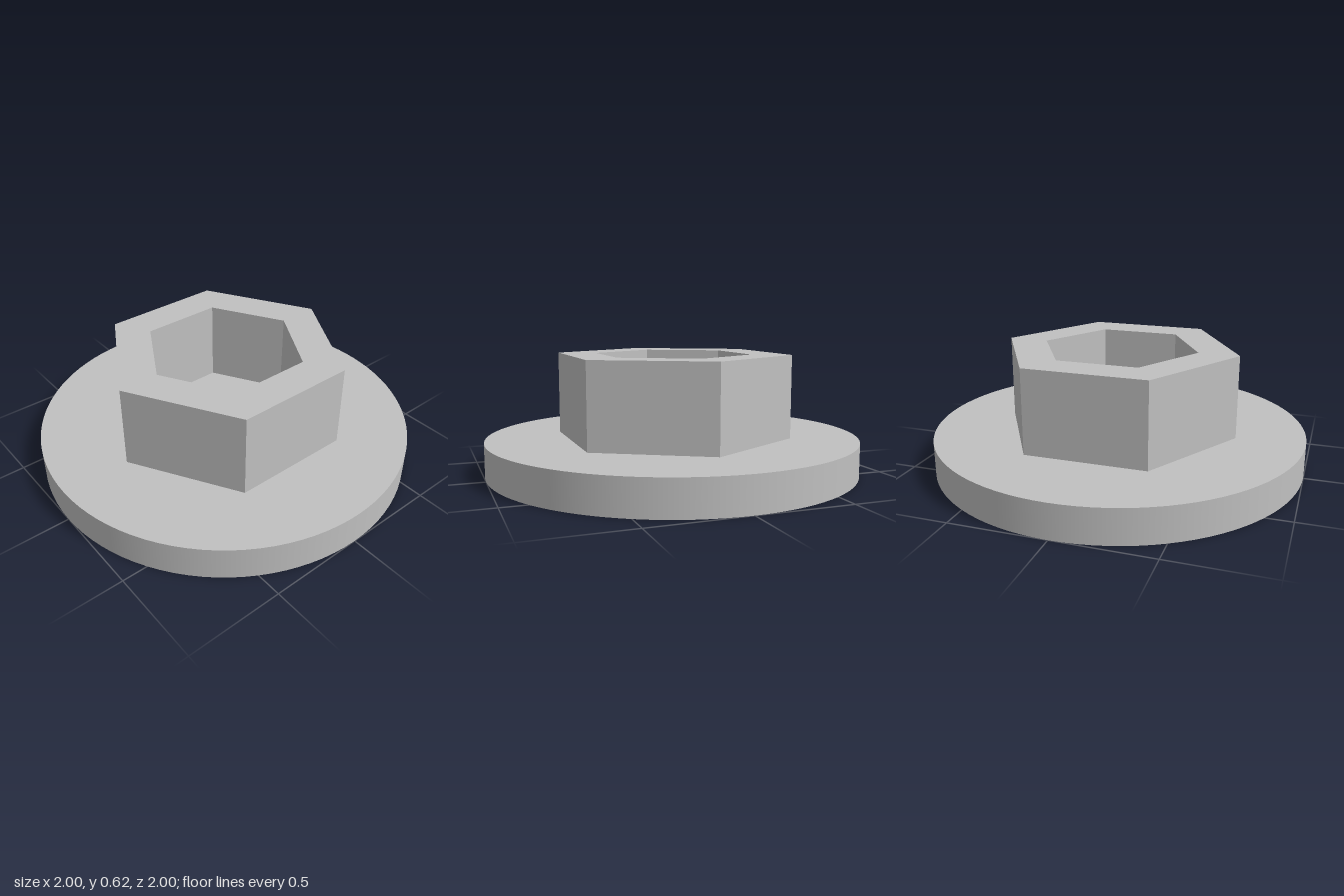
import * as THREE from 'three';

const FLANGE_HEIGHT = 0.18;
const TOTAL_HEIGHT = 0.625;

// Adds a regular hexagon with corners on the x axis to a path
function hexagon(path, radius) {
  const points = [];
  for (let i = 0; i < 6; i++) {
    const a = (i * Math.PI) / 3;
    points.push(new THREE.Vector2(radius * Math.cos(a), radius * Math.sin(a)));
  }
  path.setFromPoints(points);
  path.closePath();
  return path;
}

export function createModel() {
  const model = new THREE.Group();
  model.name = 'flangedHexSocket';

  const steel = new THREE.MeshStandardMaterial({ color: 0xc0c0c0 });
  steel.name = 'grey steel';

  // Round base disc
  const flange = new THREE.Mesh(
    new THREE.CylinderGeometry(1, 1, FLANGE_HEIGHT, 96), steel);
  flange.name = 'flange';
  flange.position.y = FLANGE_HEIGHT / 2;
  model.add(flange);

  // Hexagonal wall around a hexagonal socket, floored by the flange
  const outline = hexagon(new THREE.Shape(), 0.64);
  outline.holes.push(hexagon(new THREE.Path(), 0.425));
  const wall = new THREE.ExtrudeGeometry(outline, {
    depth: TOTAL_HEIGHT - FLANGE_HEIGHT, bevelEnabled: false,
  });
  wall.rotateX(-Math.PI / 2);
  const head = new THREE.Mesh(wall, steel);
  head.name = 'hexHead';
  head.position.y = FLANGE_HEIGHT;
  model.add(head);

  return model;
}
